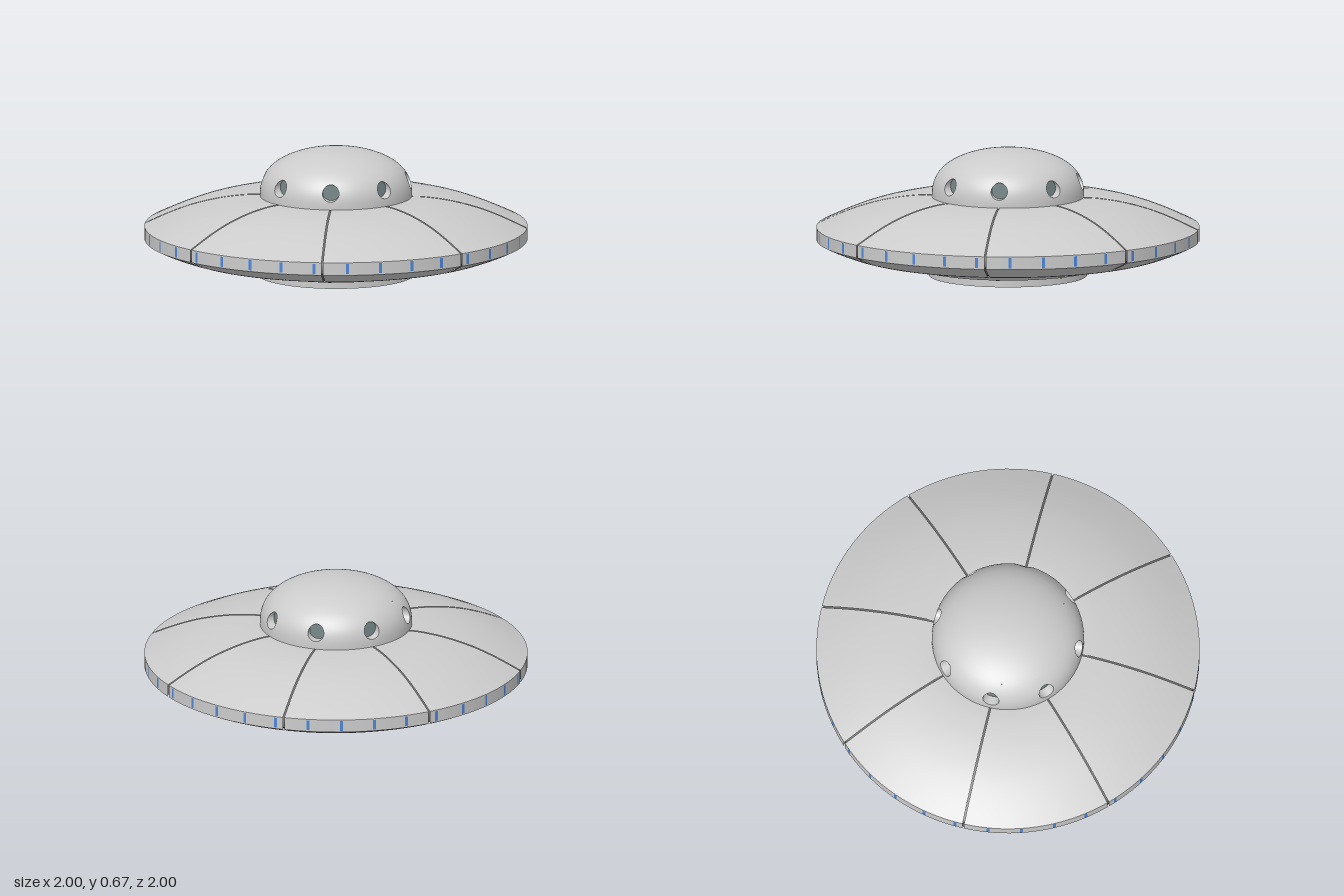
import * as THREE from 'three';
import { ParametricGeometry } from 'three/addons/geometries/ParametricGeometry.js';

const GREY = 0xcccccc, DARK = 0x666666, BLUE = 0x4a86d8, GLASS = 0x78898a;
const V = (x, y) => new THREE.Vector2(x, y);
const mats = {};
const mat = (color) => (mats[color] ??= new THREE.MeshStandardMaterial({ color }));

function add(parent, name, geometry, color = GREY) {
  const mesh = new THREE.Mesh(geometry, mat(color));
  mesh.name = name;
  parent.add(mesh);
  return mesh;
}

// Smooth curve through a few profile points
const smooth = (pts, n) => new THREE.SplineCurve(pts.map(([x, y]) => V(x, y))).getPoints(n);

// Hull profiles, each running so that the surface faces outward
const underside = smooth([[0.5, 0.09], [0.6, 0.092], [0.72, 0.1], [0.83, 0.12], [0.94, 0.16], [1, 0.188]], 20);
const rim = [V(1, 0.188), V(1, 0.255)];
const upper = smooth([[1, 0.255], [0.87, 0.315], [0.74, 0.363], [0.6, 0.397], [0.47, 0.414], [0.38, 0.416]], 24);

// One eighth of a surface of revolution, trimmed to leave a seam of constant width
function hullPanel(profile) {
  const half = Math.PI / 8;
  const g = new THREE.LatheGeometry(profile, 16, -half, 2 * half);
  const p = g.attributes.position;
  for (let i = 0; i < p.count; i++) {
    const r = Math.hypot(p.getX(i), p.getZ(i));
    const a = Math.atan2(p.getX(i), p.getZ(i)) * (1 - Math.asin(0.004 / r) / half);
    p.setXYZ(i, r * Math.sin(a), p.getY(i), r * Math.cos(a));
  }
  return g;
}

// Dome outline: radius at a given height
const BASE = 0.415, DOME_H = 0.253, DOME_R = 0.397, POWER = 2.6, BAND_TOP = 0.585;
const domeRadius = (y) => DOME_R * Math.sqrt(Math.max(0, 1 - Math.pow((y - BASE) / DOME_H, POWER)));
const onDome = (phi, y, target, inset = 0) => {
  const r = domeRadius(y);
  return target.set(r * Math.sin(phi), y, r * Math.cos(phi) - inset);
};

// Porthole edge and panel border, both walked once around as u goes 0..1
const HOLE_Y = 0.5, HOLE_R = 0.043;
function holeAndBorder(u) {
  const side = Math.min(3, Math.floor(u * 4)), k = u * 4 - side;
  const [bx, by] = [[1, 2 * k - 1], [1 - 2 * k, 1], [-1, 1 - 2 * k], [2 * k - 1, -1]][side];
  const a = u * Math.PI * 2 - Math.PI / 4;
  return {
    hole: [HOLE_R * Math.cos(a) / 0.385, HOLE_Y + HOLE_R * Math.sin(a)],
    border: [bx * Math.PI / 8, (BASE + BAND_TOP) / 2 + by * (BAND_TOP - BASE) / 2],
  };
}

export function createModel() {
  const model = new THREE.Group();
  model.name = 'flyingSaucer';

  // Hull: eight panels per surface over a dark liner that shows in the seams
  const hull = new THREE.Group();
  hull.name = 'hull';
  model.add(hull);
  const surfaces = { undersidePanel: underside, rimPanel: rim, upperPanel: upper };
  for (const [name, profile] of Object.entries(surfaces)) {
    const g = hullPanel(profile);
    for (let i = 0; i < 8; i++) add(hull, name, g).rotation.y = (i + 0.5) * Math.PI / 4;
  }
  const liner = [
    ...underside.map((p) => V(p.x - 0.008, p.y + 0.008)),
    ...upper.map((p) => V(p.x - 0.008, p.y - 0.008)),
  ];
  add(hull, 'seamLiner', new THREE.LatheGeometry(liner, 128), DARK);

  // Rim lights: 36 narrow curved strips
  const light = new THREE.LatheGeometry([V(1.0005, 0.195), V(1.0005, 0.249)], 2, -0.008, 0.016);
  for (let i = 0; i < 36; i++) {
    add(hull, 'rimLight', light, BLUE).rotation.y = THREE.MathUtils.degToRad(2.5 + i * 10);
  }

  // Dome: lower band of eight panels with real portholes, and a smooth cap
  const dome = new THREE.Group();
  dome.name = 'dome';
  model.add(dome);
  const panel = new ParametricGeometry((u, v, target) => {
    const { hole, border } = holeAndBorder(u);
    onDome(border[0] + (hole[0] - border[0]) * v, border[1] + (hole[1] - border[1]) * v, target);
  }, 48, 8);
  const reveal = new ParametricGeometry((u, v, target) => {
    const { hole } = holeAndBorder(u);
    onDome(hole[0], hole[1], target, v * 0.055);
  }, 48, 1);
  const glass = new THREE.CircleGeometry(HOLE_R + 0.003, 32).translate(0, HOLE_Y, 0.347);
  for (let i = 0; i < 8; i++) {
    const bay = new THREE.Group();
    bay.name = 'portholeBay';
    bay.rotation.y = i * Math.PI / 4;
    dome.add(bay);
    add(bay, 'domePanel', panel);
    add(bay, 'portholeReveal', reveal);
    add(bay, 'portholeGlass', glass, GLASS);
  }
  const cap = [];
  const t0 = Math.asin(Math.pow((BAND_TOP - BASE) / DOME_H, POWER / 2));
  for (let i = 0; i <= 20; i++) {
    const t = t0 + (Math.PI / 2 - t0) * i / 20;
    cap.push(V(Math.max(0, DOME_R * Math.cos(t)), BASE + DOME_H * Math.pow(Math.sin(t), 2 / POWER)));
  }
  add(dome, 'domeCap', new THREE.LatheGeometry(cap, 128));

  // Base: bevelled collar, bolts, hollow ring and recessed glowing disc
  const base = new THREE.Group();
  base.name = 'base';
  model.add(base);
  const band = (name, a, b) => add(base, name, new THREE.LatheGeometry([V(...a), V(...b)], 96));
  band('collarBevel', [0.48, 0.047], [0.522, 0.092]);
  band('collarFace', [0.4, 0.047], [0.48, 0.047]);
  band('ringOuterWall', [0.412, 0], [0.412, 0.05]);
  band('ringLip', [0.386, 0], [0.412, 0]);
  band('ringInnerWall', [0.386, 0.05], [0.386, 0]);
  add(base, 'engineDisc', new THREE.CircleGeometry(0.388, 96).rotateX(Math.PI / 2).translate(0, 0.045, 0), BLUE);
  const bolt = new THREE.CylinderGeometry(0.009, 0.009, 0.012, 16).translate(0, 0.046, 0.448);
  for (let i = 0; i < 8; i++) add(base, 'collarBolt', bolt, DARK).rotation.y = i * Math.PI / 4;

  return model;
}
